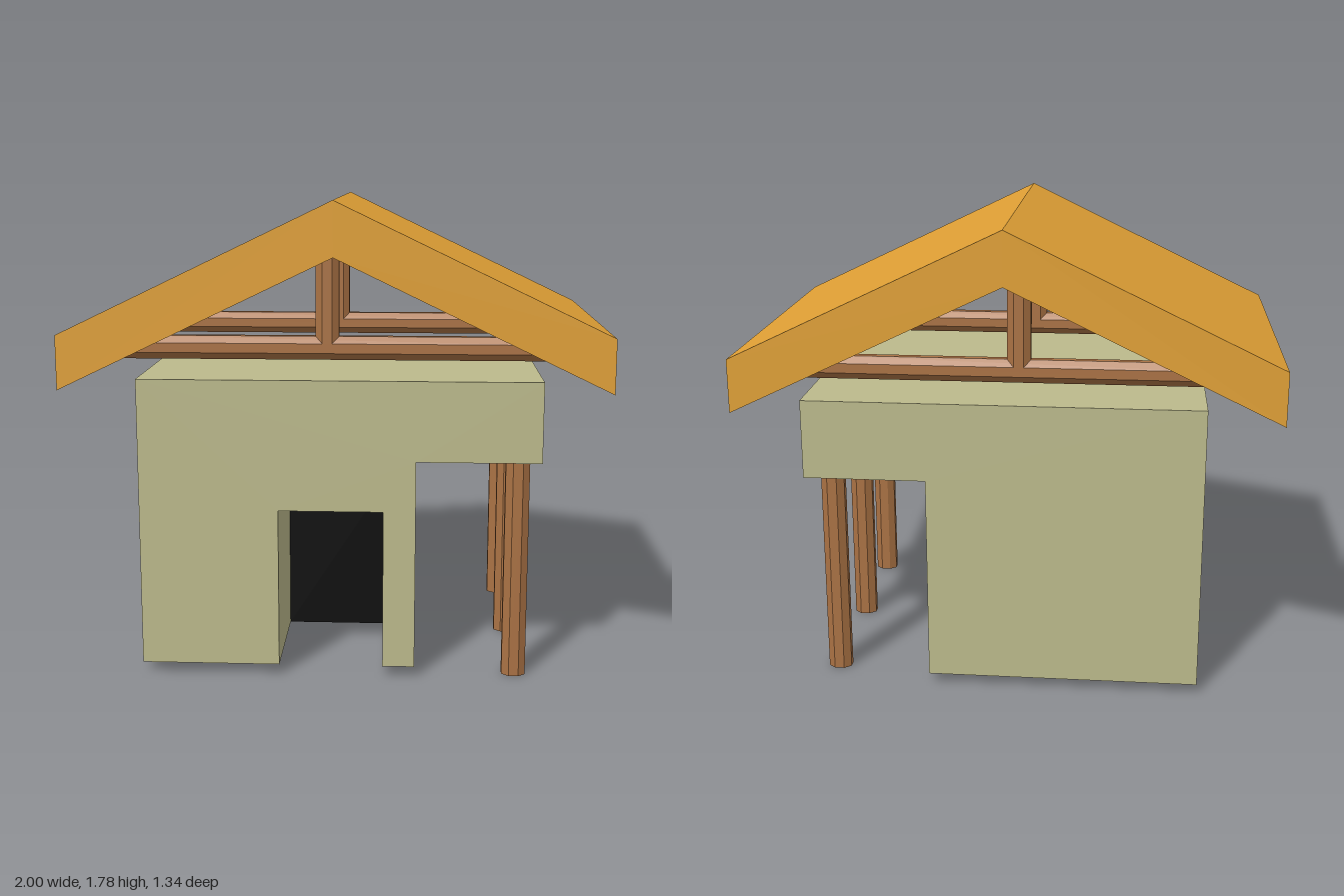
import * as THREE from 'three';

const mat = (color) => new THREE.MeshStandardMaterial({ color, flatShading: true });
const wall = mat(0xbcba8c), orange = mat(0xe0a035), wood = mat(0xaa7244);
const black = mat(0x0c0c0c);
black.side = THREE.DoubleSide;

export function createModel() {
  const group = new THREE.Group();

  function add(name, geometry, material, x = 0, y = 0, z = 0) {
    const mesh = new THREE.Mesh(geometry, material);
    mesh.name = name;
    mesh.position.set(x, y, z);
    group.add(mesh);
    return mesh;
  }

  // Extrudes a front outline between two depths
  function slab(name, points, z0, z1, material) {
    const shape = new THREE.Shape(points.map(([x, y]) => new THREE.Vector2(x, y)));
    const geometry = new THREE.ExtrudeGeometry(shape, { depth: z1 - z0, bevelEnabled: false });
    add(name, geometry, material, 0, 0, z0);
  }

  // Eight-sided log with a flat side facing front, slightly oval
  function log(name, length, x, y, z) {
    const geometry = new THREE.CylinderGeometry(0.048, 0.048, length, 8);
    geometry.rotateY(Math.PI / 8);
    geometry.scale(1, 1, 0.82);
    return add(name, geometry, wood, x, y, z);
  }

  // House body with side overhang and a doorway passage
  const upper = [[0.3, 0.04], [0.3, 0.83], [0.76, 0.83], [0.76, 1.13], [-0.73, 1.13], [-0.73, 0.04]];
  const doorway = [[-0.21, 0.04], [-0.21, 0.64], [0.18, 0.64], [0.18, 0.04]];
  slab('houseBody', [...upper, ...doorway], -0.585, 0.59, wall);
  slab('backWall', upper, -0.59, -0.585, wall);

  // Dark door recessed in the passage
  add('door', new THREE.PlaneGeometry(0.39, 0.6), black, -0.015, 0.34, 0.115);

  // Gabled roof
  slab('roof', [[-1, 1.1], [0, 1.58], [1, 1.1], [1, 1.3], [0, 1.78], [-1, 1.3]], -0.67, 0.67, orange);

  // Posts under the overhang
  for (const z of [0.525, 0.04, -0.465]) log('porchPost', 0.83, 0.675, 0.415, z);

  // Roof trusses: a tie beam and a king post each
  for (const z of [0.38, -0.43]) {
    log('tieBeam', 1.64, -0.015, 1.223, z).rotation.z = Math.PI / 2;
    log('kingPost', 0.38, -0.037, 1.41, z);
  }

  return group;
}
